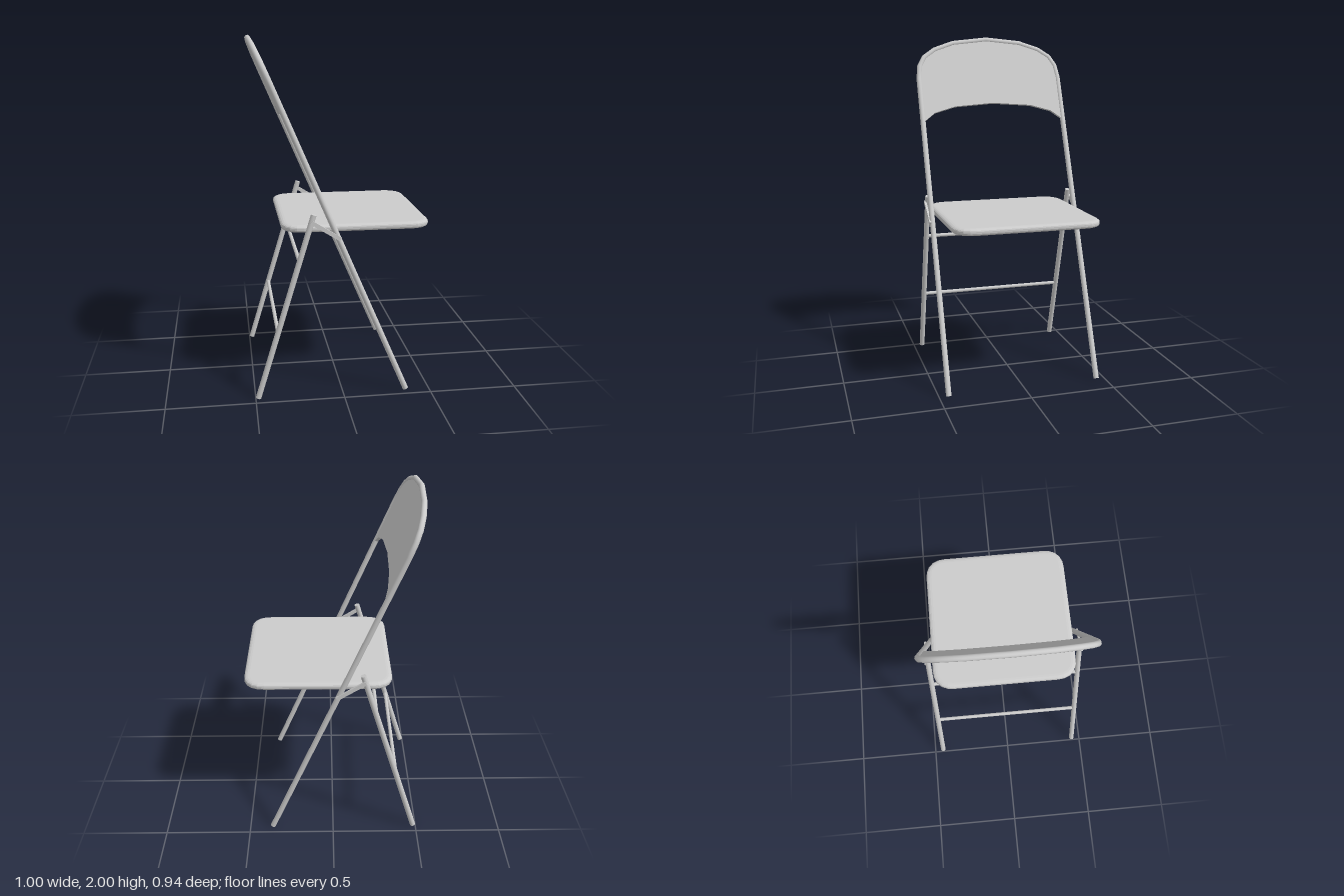
import * as THREE from 'three';

const mat = new THREE.MeshStandardMaterial({ color: 0xcccccc, side: THREE.DoubleSide });
const R = 0.016, SIDE = 0.447;
const FOOT = new THREE.Vector3(0.363, 0.007, 0), TOP = new THREE.Vector3(-0.484, 1.984, 0);
const DIR = TOP.clone().sub(FOOT).normalize();

// Point on the leaning plane of the main frame
const onFrame = (z, y) => FOOT.clone().addScaledVector(DIR, (y - FOOT.y) / DIR.y).setZ(z);

// Curve that keeps every corner of a polyline
class Polyline extends THREE.Curve {
  constructor(points) { super(); this.points = points; }
  getPoint(t, target = new THREE.Vector3()) {
    const n = this.points.length - 1, i = Math.min(Math.floor(t * n + 1e-9), n - 1);
    return target.lerpVectors(this.points[i], this.points[i + 1], t * n - i);
  }
  getPointAt(t, target) { return this.getPoint(t, target); }
  getTangentAt(t, target) { return this.getTangent(t, target); }
}

function add(parent, name, geometry) {
  const mesh = new THREE.Mesh(geometry, mat);
  mesh.name = name;
  parent.add(mesh);
  return mesh;
}

// Straight closed rod between two points
function rod(parent, name, a, b, r) {
  const mesh = add(parent, name, new THREE.CylinderGeometry(r, r, a.distanceTo(b), 12));
  mesh.position.lerpVectors(a, b, 0.5);
  mesh.quaternion.setFromUnitVectors(new THREE.Vector3(0, 1, 0), b.clone().sub(a).normalize());
  return mesh;
}

export function createModel() {
  const chair = new THREE.Group();
  chair.name = 'foldingChair';

  // Main frame: front legs running up into the arched back
  const half = [[SIDE, 0.007], [SIDE, 1.75], [0.435, 1.825], [0.402, 1.878], [0.335, 1.922], [0.215, 1.962]];
  const arch = [...half, [0, 1.984], ...half.map(([z, y]) => [-z, y]).reverse()];
  const path = new Polyline(arch.map(([z, y]) => onFrame(z, y)));
  add(chair, 'mainFrame', new THREE.TubeGeometry(path, arch.length - 1, R, 12));
  for (const s of [1, -1]) {
    const cap = add(chair, 'frontFoot', new THREE.CircleGeometry(R, 12));
    cap.position.copy(onFrame(s * SIDE, FOOT.y));
    cap.quaternion.setFromUnitVectors(new THREE.Vector3(0, 0, 1), DIR.clone().negate());
  }

  // Back panel filling the arch, with a curved lower edge
  const lower = [[-SIDE, 1.49], [-0.37, 1.545], [-0.24, 1.58], [0, 1.597], [0.24, 1.58], [0.37, 1.545], [SIDE, 1.49]];
  const outline = [...lower, ...arch.slice(1, -1)]
    .map(([z, y]) => new THREE.Vector2(z, (y - FOOT.y) / DIR.y));
  const panel = new THREE.ExtrudeGeometry(new THREE.Shape(outline), { depth: 0.018, bevelEnabled: false });
  panel.translate(0, 0, -0.009);
  const across = new THREE.Vector3(0, 0, 1);
  panel.applyMatrix4(new THREE.Matrix4().makeBasis(across, DIR, across.clone().cross(DIR)).setPosition(FOOT));
  add(chair, 'backPanel', panel);

  // Seat: rounded slab with softened rim
  const x0 = -0.335, x1 = 0.5, w = 0.425, c = 0.09, rim = 0.03;
  const a = x0 + rim, b = x1 - rim, h = w - rim;
  const plan = new THREE.Shape();
  plan.moveTo(a + c, -h).lineTo(b - c, -h);
  plan.quadraticCurveTo(b, -h, b, -h + c).lineTo(b, h - c);
  plan.quadraticCurveTo(b, h, b - c, h).lineTo(a + c, h);
  plan.quadraticCurveTo(a, h, a, h - c).lineTo(a, -h + c);
  plan.quadraticCurveTo(a, -h, a + c, -h);
  const seat = new THREE.ExtrudeGeometry(plan, {
    depth: 0.01, bevelThickness: 0.016, bevelSize: rim, bevelSegments: 4, curveSegments: 5,
  });
  seat.rotateX(-Math.PI / 2);
  seat.translate(0, 0.967, 0);
  add(chair, 'seat', seat);

  // Rear legs and folding links, one per side
  const rear = (y, z) => new THREE.Vector3(-0.485 + (y - 0.005) * 0.3033, y, z);
  for (const s of [1, -1]) {
    rod(chair, 'rearLeg', rear(0.005, s * SIDE), rear(1.06, s * SIDE), R);
    const link = add(chair, 'foldingLink', new THREE.BoxGeometry(0.19, 0.022, 0.012));
    link.position.set(-0.1, 0.972, s * 0.462);
    link.rotation.z = -0.56;
  }

  // Rungs between the rear legs
  for (const y of [0.39, 0.797]) rod(chair, 'rung', rear(y, -SIDE), rear(y, SIDE), 0.011);

  return chair;
}
